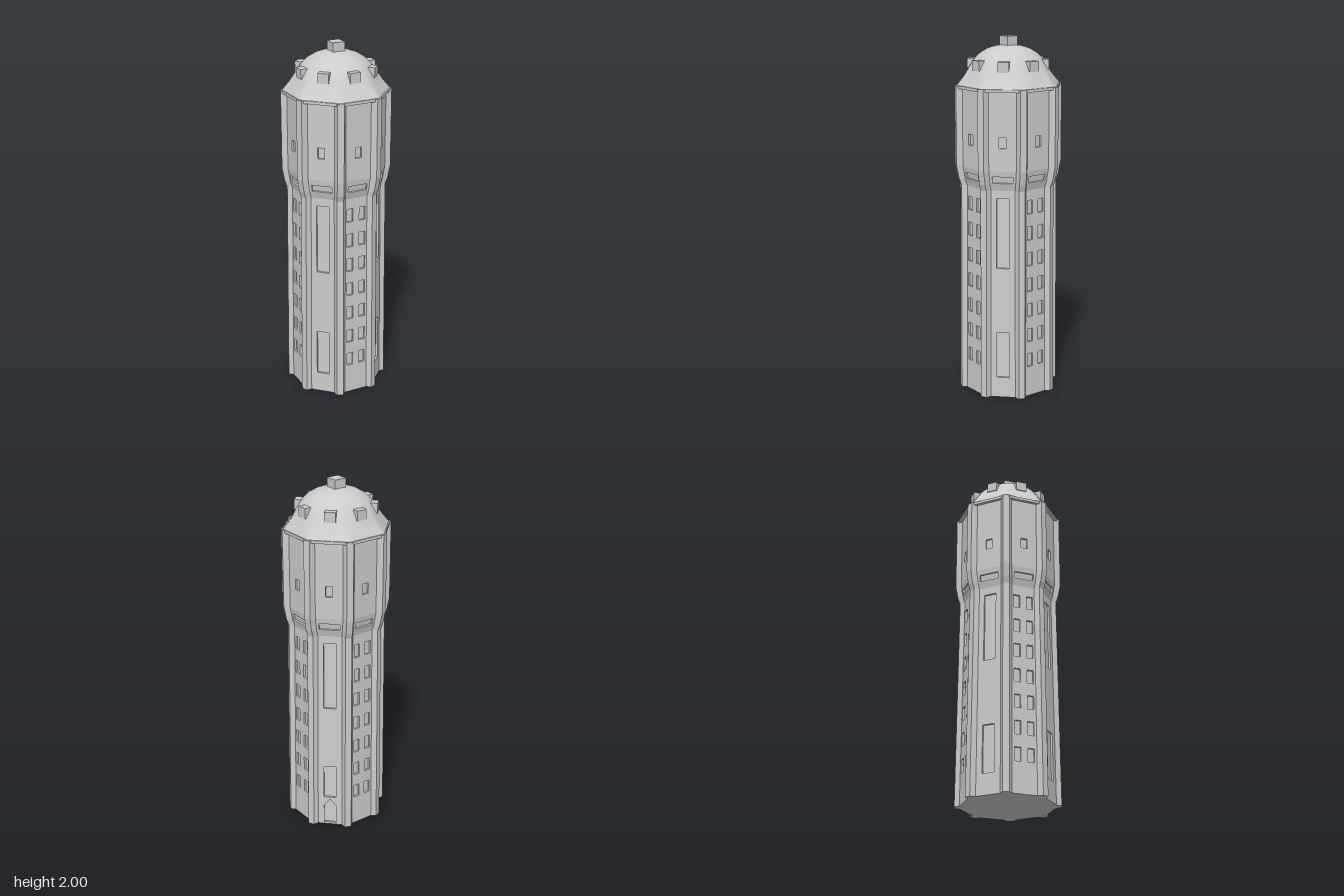
import * as THREE from 'three';

const STEP = Math.PI / 4, HALF = Math.PI / 8, INSET = 0.012;
// Outline of the shaft at its corners: [height, wall radius, rib radius]
const LEVELS = [
  [0, 0.267, 0.283], [1.19, 0.257, 0.273], [1.225, 0.268, 0.286], [1.3, 0.28, 0.3], [1.738, 0.28, 0.3],
];

const rect = (x, w, y0, y1) => [[x - w / 2, y0], [x + w / 2, y0], [x + w / 2, y1], [x - w / 2, y1]];
const toVec = (pts) => pts.map(([x, y]) => new THREE.Vector2(x, y));

function flat(geometry) {
  const g = geometry.index ? geometry.toNonIndexed() : geometry;
  g.computeVertexNormals();
  return g;
}

// One flat side of the shaft between two levels, with openings cut through
function wallPanel([y0, r0], [y1, r1], openings) {
  const a0 = r0 * Math.cos(HALF), a1 = r1 * Math.cos(HALF);
  const length = Math.hypot(y1 - y0, a1 - a0), stretch = length / (y1 - y0);
  const w0 = r0 * Math.sin(HALF), w1 = r1 * Math.sin(HALF);
  const shape = new THREE.Shape(toVec([[-w0, 0], [w0, 0], [w1, length], [-w1, length]]));
  for (const o of openings) {
    shape.holes.push(new THREE.Path(toVec(o.map(([x, y]) => [x, (y - y0) * stretch]))));
  }
  const g = new THREE.ExtrudeGeometry(shape, { depth: INSET, bevelEnabled: false });
  g.translate(0, 0, -INSET);
  g.rotateX(Math.atan2(a1 - a0, y1 - y0));
  return g.translate(0, y0, a0);
}

// Corner rib: a tapered section carried up through the levels
function ribGeometry() {
  const pos = [], idx = [];
  for (const [y, wall, out] of LEVELS) {
    const inner = wall - 0.014;
    pos.push(-0.031, y, inner, -0.018, y, out, 0.018, y, out, 0.031, y, inner);
  }
  const n = LEVELS.length;
  for (let i = 0; i < n - 1; i++) {
    for (let j = 0; j < 4; j++) {
      const a = i * 4 + j, b = i * 4 + (j + 1) % 4;
      idx.push(a, b, b + 4, a, b + 4, a + 4);
    }
  }
  const t = (n - 1) * 4;
  idx.push(0, 2, 1, 0, 3, 2, t, t + 1, t + 2, t, t + 2, t + 3);
  const g = new THREE.BufferGeometry();
  g.setAttribute('position', new THREE.Float32BufferAttribute(pos, 3));
  g.setIndex(idx);
  return flat(g);
}

// Roof whose eight-sided eaves blend into a round dome: [radius, height, angularity]
function domeGeometry() {
  const profile = [
    [0.292, 1.74, 1], [0.25, 1.79, 0.75], [0.217, 1.84, 0.4], [0.192, 1.873, 0.12], [0.16, 1.905, 0],
    [0.12, 1.93, 0], [0.08, 1.944, 0], [0.04, 1.951, 0], [0, 1.953, 0],
  ];
  const g = new THREE.LatheGeometry(toVec(profile), 64);
  const p = g.attributes.position;
  for (let i = 0; i < p.count; i++) {
    const angularity = profile[i % profile.length][2];
    const phi = Math.floor(i / profile.length) / 64 * Math.PI * 2;
    const oct = Math.cos(HALF) / Math.cos((phi % STEP) - HALF);
    const s = 1 + (oct - 1) * angularity;
    p.setXYZ(i, p.getX(i) * s, p.getY(i), p.getZ(i) * s);
  }
  g.computeVertexNormals();
  return g;
}

export function createModel() {
  const stone = new THREE.MeshStandardMaterial({ color: 0xcccccc });
  stone.name = 'pale grey stone';
  const model = new THREE.Group();
  model.name = 'waterTower';
  const add = (name, geometry, angle = 0) => {
    const mesh = new THREE.Mesh(geometry, stone);
    mesh.name = name;
    mesh.rotation.y = angle;
    model.add(mesh);
  };

  // Inner core forms the backs of the openings and the base
  const core = LEVELS.map(([y, r]) => [r - INSET / Math.cos(HALF) + 0.001, y]);
  add('core', flat(new THREE.LatheGeometry(toVec([[0, 0], ...core, [0, 1.738]]), 8)));

  // Openings on the two kinds of shaft side
  const windows = [];
  for (let row = 0; row < 7; row++) {
    const y = 0.212 + row * 0.147;
    for (const x of [-0.037, 0.037]) windows.push(rect(x, 0.036, y - 0.038, y + 0.038));
  }
  const tall = rect(0, 0.07, 0.753, 1.146);
  const slots = [tall, rect(0, 0.07, 0.117, 0.382)];
  const door = [[-0.034, 0.012], [0.034, 0.012], [0.034, 0.125], [0, 0.168], [-0.034, 0.125]];
  const doorSlots = [tall, rect(0, 0.07, 0.18, 0.382), door];
  const upper = [[], [rect(0, 0.113, 1.231, 1.268)], [rect(0, 0.038, 1.424, 1.484)]];

  const rib = ribGeometry();
  const dormer = new THREE.BoxGeometry(0.06, 0.055, 0.037).translate(0, 1.851, 0.205);
  for (let k = 0; k < 8; k++) {
    const angle = HALF + k * STEP;
    const lower = k % 2 === 0 ? windows : k === 3 ? doorSlots : slots;
    [lower, ...upper].forEach((openings, i) => {
      const name = ['shaftWall', 'flareWall', 'slitWall', 'tankWall'][i];
      add(name, wallPanel(LEVELS[i], LEVELS[i + 1], openings), angle);
    });
    add('cornerRib', rib, k * STEP);
    add('dormer', dormer, angle);
  }

  // Eaves, roof and the block on top
  const eaves = [[0.26, 1.724], [0.298, 1.724], [0.298, 1.74], [0.28, 1.741]];
  add('eaves', flat(new THREE.LatheGeometry(toVec(eaves), 8)));
  add('dome', domeGeometry());
  add('finial', new THREE.BoxGeometry(0.07, 0.07, 0.07).translate(0, 1.965, 0), HALF);
  return model;
}
